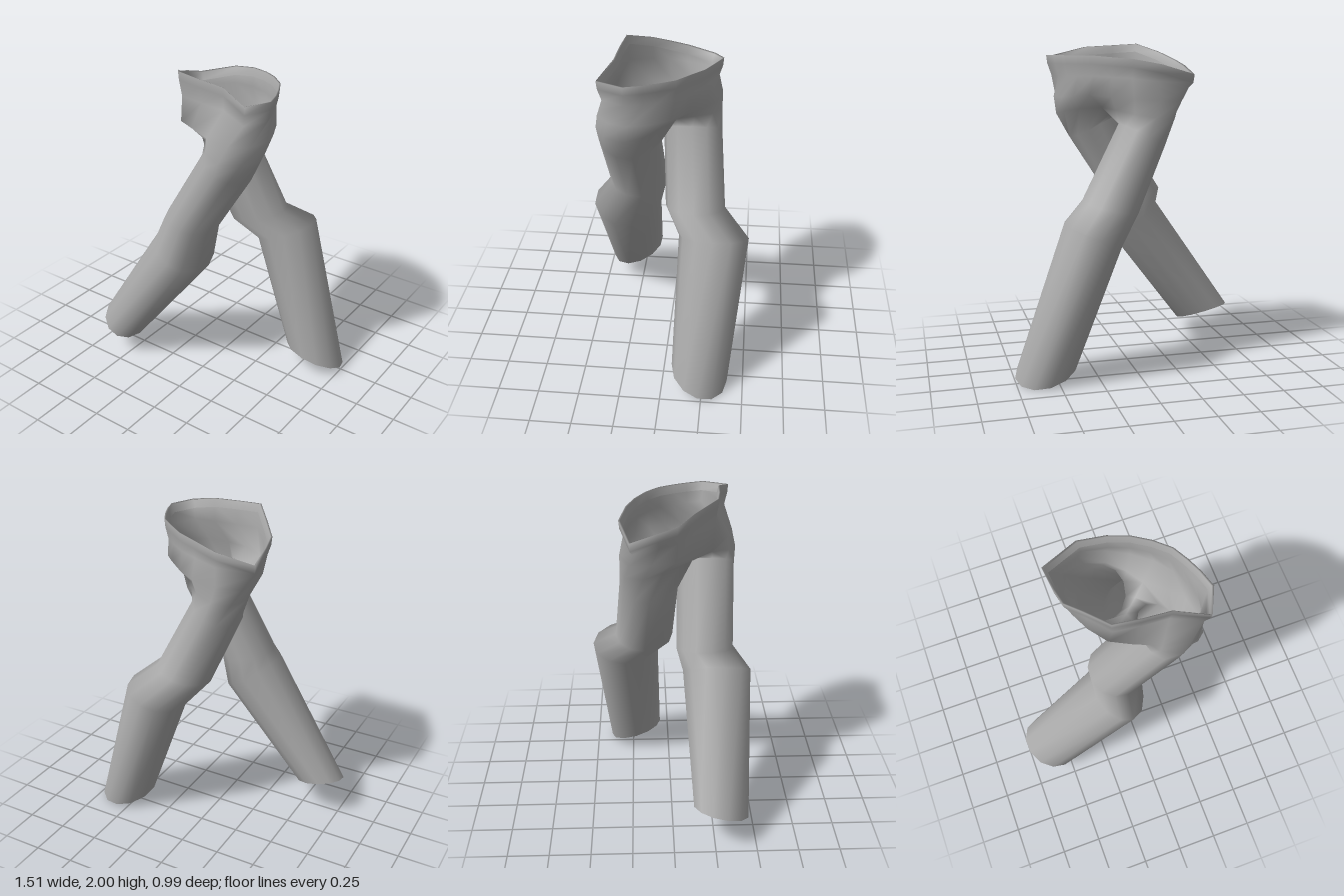
import * as THREE from 'three';

// Waist opening, seat and hip line: 16 points each, starting at the crotch side, first half above the left leg
const rim = [
  [-0.13, 2.0, 0.27], [0.03, 1.99, 0.29], [0.2, 1.98, 0.3], [0.39, 1.93, 0.37],
  [0.46, 1.93, 0.22], [0.43, 1.93, 0.12], [0.39, 1.93, 0.03], [0.34, 1.93, -0.06],
  [0.25, 1.93, -0.14], [0.15, 1.92, -0.21], [0.03, 1.91, -0.26], [-0.13, 1.88, -0.3],
  [-0.35, 1.82, -0.24], [-0.34, 1.87, -0.08], [-0.32, 1.9, 0.03], [-0.24, 1.95, 0.13],
];
const seat = [
  [-0.14, 1.69, 0.24], [-0.01, 1.7, 0.31], [0.13, 1.69, 0.36], [0.29, 1.68, 0.39],
  [0.39, 1.68, 0.31], [0.42, 1.68, 0.2], [0.39, 1.68, 0.08], [0.34, 1.69, -0.03],
  [0.26, 1.7, -0.12], [0.15, 1.69, -0.21], [0.03, 1.68, -0.28], [-0.13, 1.67, -0.3],
  [-0.27, 1.66, -0.24], [-0.28, 1.66, -0.12], [-0.27, 1.67, 0.02], [-0.22, 1.68, 0.13],
];
const hip = [
  [-0.04, 1.62, 0.14], [0.04, 1.62, 0.25], [0.12, 1.6, 0.36], [0.24, 1.58, 0.41],
  [0.35, 1.57, 0.35], [0.4, 1.57, 0.23], [0.37, 1.59, 0.12], [0.29, 1.61, 0.04],
  [0.17, 1.62, -0.05], [0.11, 1.61, -0.15], [0.02, 1.59, -0.25], [-0.1, 1.57, -0.3],
  [-0.21, 1.56, -0.27], [-0.26, 1.57, -0.16], [-0.24, 1.6, -0.05], [-0.15, 1.61, 0.06],
];
// Seam between the legs
const crotch = [[0.025, 1.575, 0.08], [0.065, 1.565, 0.04], [0.105, 1.575, 0.005]];

// Leg cross-sections: centre, sideways half axis, forward half axis
const leftLegRings = [
  [[0.185, 1.5, 0.222], [0.137, -0.077, 0], [0, 0, 0.182]],
  [[-0.095, 1.055, 0.207], [0.16, -0.035, 0], [0, 0, 0.177]],
  [[-0.1, 0.89, 0.285], [0.155, -0.1, 0], [0, 0, 0.215]],
  [[-0.6, 0.2, 0.29], [0.155, -0.04, 0], [0.02, -0.055, 0.172]],
];
const rightLegRings = [
  [[-0.055, 1.46, -0.13], [0.14, 0.07, 0], [0, 0, 0.175]],
  [[0.15, 1.03, -0.163], [0.175, 0.04, 0], [0, 0, 0.18]],
  [[0.28, 0.9, -0.285], [0.175, 0.065, 0], [0, 0, 0.21]],
  [[0.565, 0.07, -0.23], [0.188, -0.04, 0], [0, 0.055, 0.172]],
];

// Scale a ring about the pelvis axis
const inset = (ring, s, height) =>
  ring.map(([x, y, z]) => [0.05 + (x - 0.05) * s, height(y), 0.03 + (z - 0.03) * s]);

export function createModel() {
  const positions = [];
  const addRing = (points) => points.map((p) => positions.push(...p) / 3 - 1);

  // Join successive rings of equal length with quads
  const loft = (rows) => {
    const index = [];
    for (let r = 0; r + 1 < rows.length; r++) {
      const n = rows[r].length;
      for (let i = 0; i < n; i++) {
        const j = (i + 1) % n;
        const a = rows[r][i], b = rows[r][j], c = rows[r + 1][i], d = rows[r + 1][j];
        index.push(a, c, b, b, c, d);
      }
    }
    return index;
  };

  const ellipse = ([c, u, v], start) => Array.from({ length: 12 }, (_, i) => {
    const t = THREE.MathUtils.degToRad(start - 30 * i);
    return c.map((k, a) => k + u[a] * Math.cos(t) + v[a] * Math.sin(t));
  });

  // Pelvis rows: inner fold, lip, rim, band, pinched waist, seat, hip line
  const pelvisRows = [
    inset(rim, 0.93, (y) => y - 0.05), inset(rim, 0.97, (y) => y - 0.003), rim,
    inset(rim, 0.985, (y) => y - 0.05), inset(rim, 0.93, (y) => 1.81 + (y - 1.93) * 0.6),
    seat, hip,
  ].map(addRing);
  const h = pelvisRows.at(-1);
  const m = addRing(crotch);

  // Each leg hangs from half of the hip line plus the crotch seam
  const leftTop = [...h.slice(0, 9), m[2], m[1], m[0]];
  const rightTop = [...h.slice(8), h[0], m[0], m[1], m[2]];
  const legRows = (top, rings, start) => [top, ...rings.map((r) => addRing(ellipse(r, start)))];

  const parts = {
    pelvis: loft(pelvisRows),
    leftLeg: loft(legRows(leftTop, leftLegRings, 170)),
    rightLeg: loft(legRows(rightTop, rightLegRings, 0)),
  };

  // Shared smooth normals keep the seams between the parts invisible
  const whole = new THREE.BufferGeometry();
  whole.setAttribute('position', new THREE.Float32BufferAttribute(positions, 3));
  whole.setIndex(Object.values(parts).flat());
  whole.computeVertexNormals();

  const cloth = new THREE.MeshStandardMaterial({ color: 0xaaaaaa, side: THREE.DoubleSide });
  cloth.name = 'grey cloth';

  const group = new THREE.Group();
  group.name = 'trousers';
  for (const [name, index] of Object.entries(parts)) {
    const mesh = new THREE.Mesh(whole.clone().setIndex(index), cloth);
    mesh.name = name;
    group.add(mesh);
  }
  return group;
}
